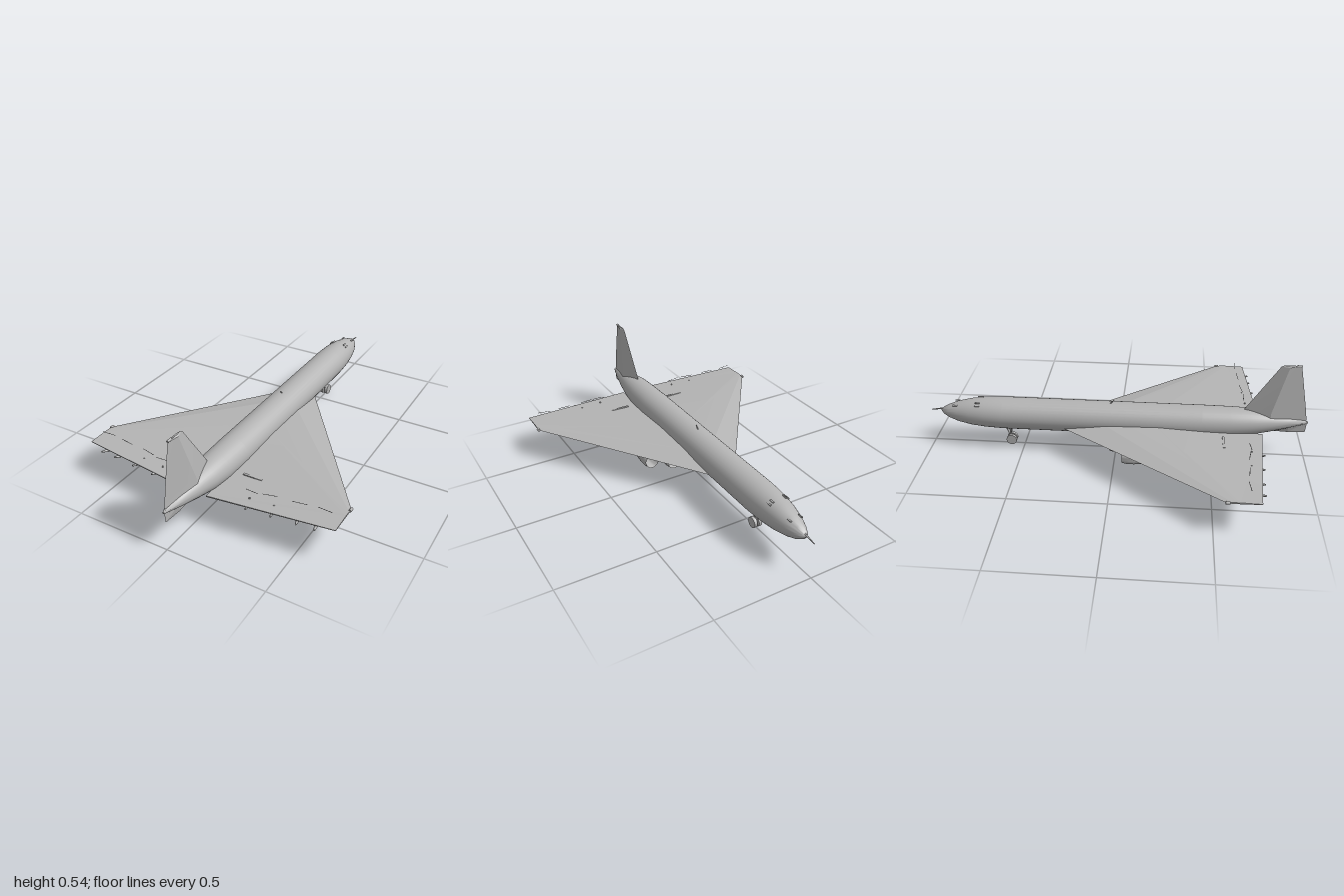
import * as THREE from 'three';
import { toCreasedNormals } from 'three/addons/utils/BufferGeometryUtils.js';

const grey = new THREE.MeshStandardMaterial({ color: 0xb4b4b4 });
grey.name = 'airframe grey';

// Skin a list of equal-length closed loops, cap both ends, face outwards.
function loft(loops, crease) {
  const n = loops[0].length, pos = loops.flat(2), idx = [];
  for (let i = 0; i < loops.length - 1; i++) {
    for (let j = 0; j < n; j++) {
      const a = i * n + j, b = i * n + (j + 1) % n;
      idx.push(a, b, a + n, b, b + n, a + n);
    }
  }
  const last = (loops.length - 1) * n;
  for (let j = 1; j < n - 1; j++) idx.push(0, j + 1, j, last, last + j, last + j + 1);
  const v = (i) => new THREE.Vector3().fromArray(pos, i * 3).sub(v0);
  const v0 = new THREE.Vector3().fromArray(pos, 0);
  let volume = 0;
  for (let i = 0; i < idx.length; i += 3) {
    volume += v(idx[i]).dot(v(idx[i + 1]).cross(v(idx[i + 2])));
  }
  if (volume < 0) idx.reverse();
  const g = new THREE.BufferGeometry();
  g.setAttribute('position', new THREE.Float32BufferAttribute(pos, 3));
  g.setIndex(idx);
  return toCreasedNormals(g, crease);
}

function add(parent, name, geometry, x = 0, y = 0, z = 0) {
  const m = new THREE.Mesh(geometry, grey);
  m.name = name;
  m.position.set(x, y, z);
  parent.add(m);
  return m;
}

// Round rod or cone between two points; r1 at the start, r2 at the end.
function rod(parent, name, a, b, r1, r2 = r1, sides = 10) {
  const p = new THREE.Vector3(...a), q = new THREE.Vector3(...b);
  const d = q.clone().sub(p);
  const m = add(parent, name, new THREE.CylinderGeometry(r2, r1, d.length(), sides));
  m.position.copy(p).addScaledVector(d, 0.5);
  m.quaternion.setFromUnitVectors(new THREE.Vector3(0, 1, 0), d.normalize());
  return m;
}

function wheel(parent, x, y, z, r) {
  const g = new THREE.CylinderGeometry(r, r, 0.016, 24);
  add(parent, 'wheel', g.rotateZ(Math.PI / 2), x, y, z);
}

// Fuselage stations: z, half width, bottom y, top y.
function fuselage() {
  const stations = [
    [-0.945, 0.004, 0.185, 0.193], [-0.93, 0.02, 0.168, 0.208], [-0.9, 0.037, 0.15, 0.224],
    [-0.85, 0.055, 0.132, 0.243], [-0.78, 0.071, 0.117, 0.26], [-0.7, 0.082, 0.109, 0.27],
    [-0.6, 0.088, 0.105, 0.274], [0.45, 0.088, 0.105, 0.274], [0.6, 0.083, 0.114, 0.273],
    [0.7, 0.075, 0.13, 0.27], [0.8, 0.058, 0.152, 0.259], [0.9, 0.035, 0.176, 0.24],
    [0.97, 0.015, 0.194, 0.222], [1, 0.004, 0.201, 0.211]
  ];
  return loft(stations.map(([z, rx, lo, hi]) => Array.from({ length: 32 }, (_, i) => {
    const a = i / 32 * Math.PI * 2;
    return [rx * Math.cos(a), (lo + hi) / 2 + (hi - lo) / 2 * Math.sin(a), z];
  })), 0.7);
}

// Delta wing: faceted root and tip sections.
function wing(s) {
  const root = [[-0.3, 0.15], [-0.08, 0.184], [0.2, 0.19], [0.765, 0.158], [0.765, 0.152], [0.2, 0.135], [-0.08, 0.136]];
  const tip = [[0.55, 0.175], [0.575, 0.179], [0.61, 0.18], [0.71, 0.177], [0.71, 0.174], [0.61, 0.172], [0.575, 0.172]];
  return loft([root.map(([z, y]) => [s * 0.055, y, z]), tip.map(([z, y]) => [s * 0.67, y, z])], 0.1);
}

// Fin: diamond-shaped sections.
function fin(sections) {
  return loft(sections.map(([y, front, mid, back, w]) =>
    [[0, y, front], [w, y, mid], [0, y, back], [-w, y, mid]]), 0.1);
}

// Engine pod with open intake and recessed nozzle; +y of the profile is forward.
function nacelle() {
  const profile = [
    [0, 0.05], [0.012, 0.03], [0.012, 0.05], [0.024, 0.05], [0.027, 0], [0.031, 0], [0.038, 0.1],
    [0.039, 0.5], [0.042, 0.53], [0.041, 0.57], [0.037, 0.59], [0.034, 0.585], [0.031, 0.5], [0.01, 0.5], [0, 0.53]
  ].map(([r, y]) => new THREE.Vector2(r, y));
  return toCreasedNormals(new THREE.LatheGeometry(profile, 28).rotateX(-Math.PI / 2), 0.6);
}

function mainGear(s) {
  const g = new THREE.Group();
  g.name = 'mainGear';
  const x = s * 0.166;
  for (const z of [0.29, 0.36]) {
    for (const dx of [-0.016, 0.016]) wheel(g, x + dx, 0.035, z, 0.035);
    rod(g, 'axle', [x - 0.016, 0.035, z], [x + 0.016, 0.035, z], 0.006);
  }
  rod(g, 'bogieBeam', [x, 0.035, 0.29], [x, 0.035, 0.36], 0.007);
  rod(g, 'strut', [x, 0.035, 0.325], [x, 0.15, 0.325], 0.009);
  return g;
}

function noseGear() {
  const g = new THREE.Group();
  g.name = 'noseGear';
  for (const x of [-0.013, 0.013]) {
    wheel(g, x, 0.029, -0.57, 0.028);
    rod(g, 'brace', [x * 0.5, 0.06, -0.575], [x * 2, 0.115, -0.565], 0.003);
  }
  rod(g, 'axle', [-0.015, 0.029, -0.57], [0.015, 0.029, -0.57], 0.005);
  rod(g, 'strut', [0, 0.029, -0.57], [0, 0.12, -0.6], 0.007);
  return g;
}

export function createModel() {
  const plane = new THREE.Group();
  plane.name = 'jetAircraft';

  add(plane, 'fuselage', fuselage());
  rod(plane, 'noseProbe', [0, 0.2, -0.925], [0, 0.189, -1], 0.005, 0.002);
  rod(plane, 'dorsalAntenna', [0, 0.268, -0.035], [0, 0.292, -0.01], 0.003, 0.002);
  add(plane, 'tailFin', fin([[0.22, 0.64, 0.8, 0.99, 0.042], [0.27, 0.665, 0.8, 0.982, 0.037], [0.525, 0.828, 0.87, 0.93, 0.011], [0.532, 0.84, 0.87, 0.925, 0.005]]));
  rod(plane, 'finCap', [0, 0.53, 0.905], [0, 0.53, 0.93], 0.006);
  add(plane, 'ventralFin', fin([[0.148, 0.82, 0.9, 0.99, 0.006], [0.205, 0.82, 0.9, 0.995, 0.018]]));
  plane.add(noseGear());

  for (const s of [1, -1]) {
    add(plane, 'wing', wing(s));
    rod(plane, 'wingTipPod', [s * 0.67, 0.176, 0.545], [s * 0.67, 0.176, 0.565], 0.007);

    // Engines, the outer pair set further back
    for (const [x, y, z] of [[0.137, 0.11, 0.57], [0.232, 0.104, 0.64]]) {
      add(plane, 'engine', nacelle(), s * x, y, z);
      add(plane, 'enginePylon', new THREE.BoxGeometry(0.016, 0.025, 0.36), s * x, 0.147, z - 0.27);
    }
    plane.add(mainGear(s));

    // Tapered pods under the trailing edge
    for (const [x, z] of [[0.575, 0.735], [0.49, 0.74], [0.37, 0.75], [0.25, 0.76]]) {
      rod(plane, 'flapFairing', [s * (x - 0.017), 0.139, z - 0.09], [s * (x + 0.008), 0.16, z], 0.014, 0.004, 12);
      rod(plane, 'fairingMount', [s * (x - 0.01), 0.143, z - 0.065], [s * (x - 0.01), 0.172, z - 0.065], 0.004);
    }

    // Thin spoiler strips above the wing
    for (const [x0, z0, y0, x1, z1, y1] of [
      [0.63, 0.66, 0.22, 0.56, 0.653, 0.217], [0.51, 0.66, 0.215, 0.44, 0.668, 0.212],
      [0.37, 0.67, 0.211, 0.3, 0.683, 0.208], [0.28, 0.69, 0.206, 0.215, 0.683, 0.203]
    ]) rod(plane, 'spoilerStrip', [s * x0, y0, z0], [s * x1, y1, z1], 0.0015, 0.0015, 4);
    add(plane, 'wingPanel', new THREE.BoxGeometry(0.1, 0.006, 0.012), s * 0.175, 0.173, 0.56);

    // Cockpit hatch details
    for (const [x, y, z] of [[0.03, 0.235, -0.86], [0.035, 0.261, -0.735], [0.05, 0.251, -0.735]]) {
      add(plane, 'hatchWindow', new THREE.BoxGeometry(0.008, 0.006, 0.025), s * x, y, z).rotation.z = -s * 0.5;
    }
  }
  return plane;
}
